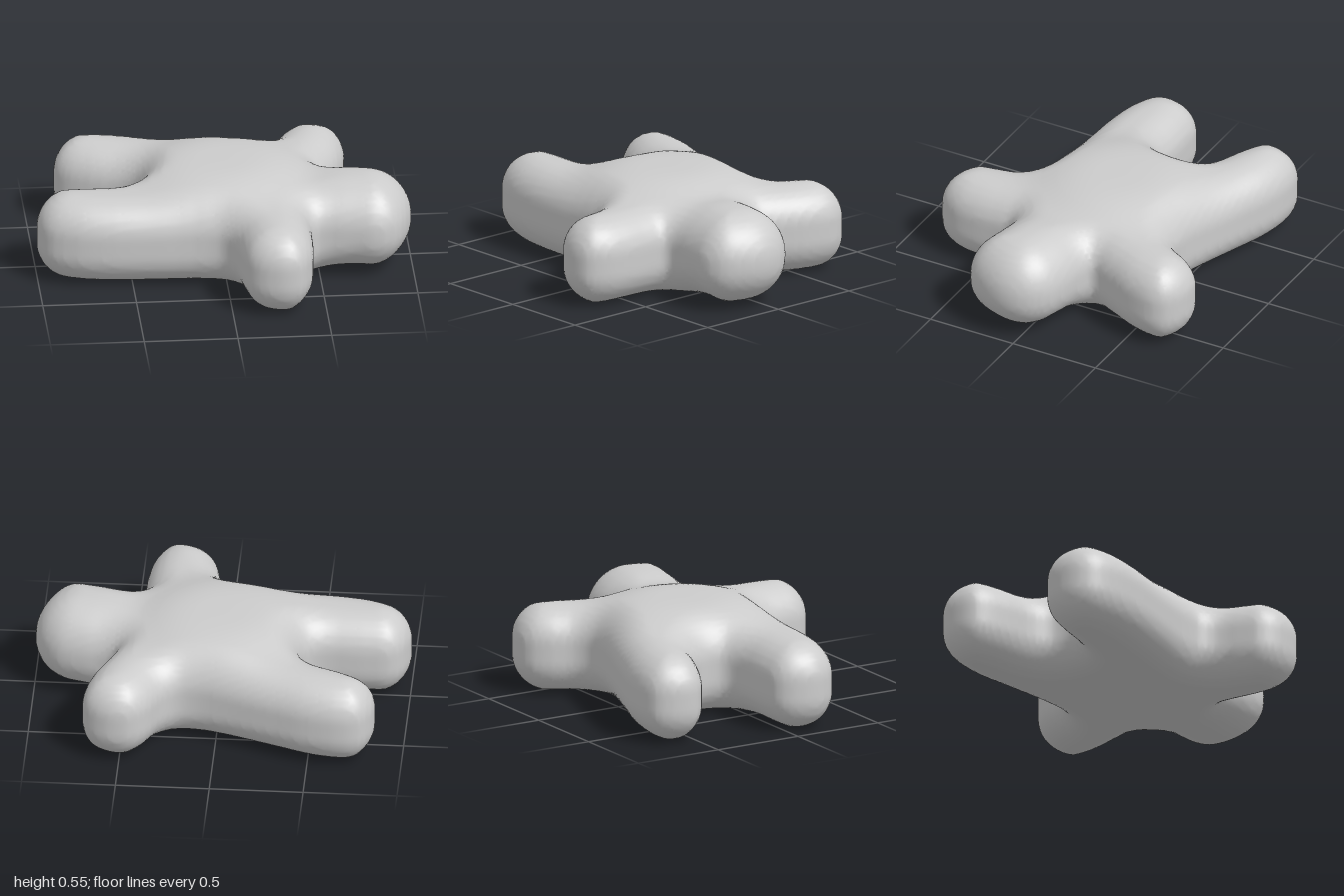
import * as THREE from 'three';

// Plan outline of the plush figure as x, z pairs: head, front arm, two legs, back arm.
const OUTLINE = [
  1, 0.06, 0.97, 0.2, 0.9, 0.31, 0.8, 0.35, 0.66, 0.33, 0.5, 0.31, 0.455, 0.335, 0.445, 0.4,
  0.44, 0.55, 0.42, 0.68, 0.36, 0.78, 0.27, 0.805, 0.15, 0.77, 0.08, 0.7, 0.055, 0.6, 0.03, 0.48,
  -0.03, 0.4, -0.15, 0.37, -0.4, 0.36, -0.65, 0.345, -0.82, 0.31, -0.95, 0.24, -1, 0.13,
  -0.97, 0, -0.9, -0.07, -0.75, -0.085, -0.55, -0.085, -0.46, -0.12, -0.435, -0.19, -0.45, -0.27,
  -0.52, -0.34, -0.68, -0.41, -0.8, -0.48, -0.85, -0.55, -0.84, -0.66, -0.78, -0.75, -0.68, -0.775,
  -0.5, -0.75, -0.3, -0.68, -0.05, -0.59, 0.1, -0.55, 0.2, -0.55, 0.28, -0.6, 0.35, -0.72,
  0.42, -0.79, 0.5, -0.81, 0.6, -0.79, 0.68, -0.73, 0.7, -0.65, 0.67, -0.5, 0.6, -0.34,
  0.57, -0.25, 0.62, -0.215, 0.75, -0.19, 0.88, -0.15, 0.97, -0.06,
];

function outlinePoints() {
  const pts = [];
  for (let i = 0; i < OUTLINE.length; i += 2) pts.push(new THREE.Vector3(OUTLINE[i], 0, OUTLINE[i + 1]));
  return new THREE.CatmullRomCurve3(pts, true, 'centripetal').getPoints(170).slice(0, -1);
}

// Signed distance to the outline, negative inside.
function outlineDistance(pts, x, z) {
  let best = Infinity, inside = false;
  for (let i = 0, j = pts.length - 1; i < pts.length; j = i++) {
    const a = pts[i], b = pts[j], ex = b.x - a.x, ez = b.z - a.z;
    const t = Math.min(1, Math.max(0, ((x - a.x) * ex + (z - a.z) * ez) / (ex * ex + ez * ez)));
    best = Math.min(best, (x - a.x - ex * t) ** 2 + (z - a.z - ez * t) ** 2);
    if ((a.z > z) !== (b.z > z) && x < a.x + (ex * (z - a.z)) / ez) inside = !inside;
  }
  return (inside ? -1 : 1) * Math.sqrt(best);
}

// Rounded slab inside the outline: raised belly, rounder head.
function makeField() {
  const pts = outlinePoints();
  return (x, y, z) => {
    const belly = Math.exp(-(((x / 0.42) ** 2 + ((z + 0.1) / 0.42) ** 2) ** 2));
    const head = Math.exp(-((((x - 0.8) / 0.3) ** 2 + ((z - 0.07) / 0.36) ** 2) ** 2));
    const top = 0.473 + 0.082 * belly + 0.045 * head, bottom = 0.02 * head;
    const r = 0.19 + 0.058 * head;
    const u = outlineDistance(pts, x, z) + r;
    const v = Math.abs(y - (top + bottom) / 2) - (top - bottom) / 2 + r;
    return Math.min(Math.max(u, v), 0) + Math.hypot(Math.max(u, 0), Math.max(v, 0)) - r;
  };
}

// Meshes the zero surface of a field: one vertex per crossed cell, one quad per crossed edge.
function meshField(field, min, size, step) {
  const n = size.map((s) => Math.ceil(s / step) + 1);
  const stride = [1, n[0], n[0] * n[1]];
  const at = (i, j, k) => i + j * stride[1] + k * stride[2];
  const values = new Float32Array(n[0] * n[1] * n[2]);
  for (let k = 0; k < n[2]; k++)
    for (let j = 0; j < n[1]; j++)
      for (let i = 0; i < n[0]; i++)
        values[at(i, j, k)] = field(min[0] + i * step, min[1] + j * step, min[2] + k * step);

  const positions = [], index = [], cellVertex = new Int32Array(values.length).fill(-1);
  for (let k = 0; k < n[2] - 1; k++)
    for (let j = 0; j < n[1] - 1; j++)
      for (let i = 0; i < n[0] - 1; i++) {
        const base = at(i, j, k), sum = [0, 0, 0];
        let count = 0;
        for (let c = 0; c < 8; c++)
          for (let a = 0; a < 3; a++) {
            if (c & (1 << a)) continue;
            const o = [c & 1, (c >> 1) & 1, (c >> 2) & 1];
            const p = base + at(...o), f0 = values[p], f1 = values[p + stride[a]];
            if (f0 < 0 === f1 < 0) continue;
            o[a] += f0 / (f0 - f1);
            for (let d = 0; d < 3; d++) sum[d] += o[d];
            count++;
          }
        if (!count) continue;
        const p = [i, j, k].map((q, d) => min[d] + (q + sum[d] / count) * step);
        // Pull the vertex onto the surface.
        const f = field(...p), e = 0.004;
        const g = [0, 1, 2].map((d) => (field(...p.map((q, m) => q + (m === d ? e : 0))) - f) / e);
        const len = Math.max(0.5, g[0] ** 2 + g[1] ** 2 + g[2] ** 2);
        cellVertex[base] = positions.length / 3;
        positions.push(...p.map((q, d) => q - (f * g[d]) / len));
      }

  for (let k = 1; k < n[2] - 1; k++)
    for (let j = 1; j < n[1] - 1; j++)
      for (let i = 1; i < n[0] - 1; i++)
        for (let a = 0; a < 3; a++) {
          const p = at(i, j, k), inside = values[p] < 0;
          if (inside === values[p + stride[a]] < 0) continue;
          const b = stride[(a + 1) % 3], c = stride[(a + 2) % 3];
          const q = [p - b - c, p - c, p, p - b].map((s) => cellVertex[s]);
          if (!inside) q.reverse();
          index.push(q[0], q[1], q[2], q[0], q[2], q[3]);
        }

  const geometry = new THREE.BufferGeometry();
  geometry.setAttribute('position', new THREE.Float32BufferAttribute(positions, 3));
  geometry.setIndex(index);
  geometry.computeVertexNormals();
  return geometry;
}

export function createModel() {
  const softGrey = new THREE.MeshStandardMaterial({ color: 0xcccccc });
  softGrey.name = 'softGrey';
  const model = new THREE.Group();
  model.name = 'plushFigure';

  // One continuous skin for torso, head, arms and legs.
  const body = new THREE.Mesh(meshField(makeField(), [-1.07, -0.07, -0.88], [2.14, 0.72, 1.76], 0.026), softGrey);
  body.name = 'bodyWithHeadAndLimbs';
  model.add(body);
  return model;
}
